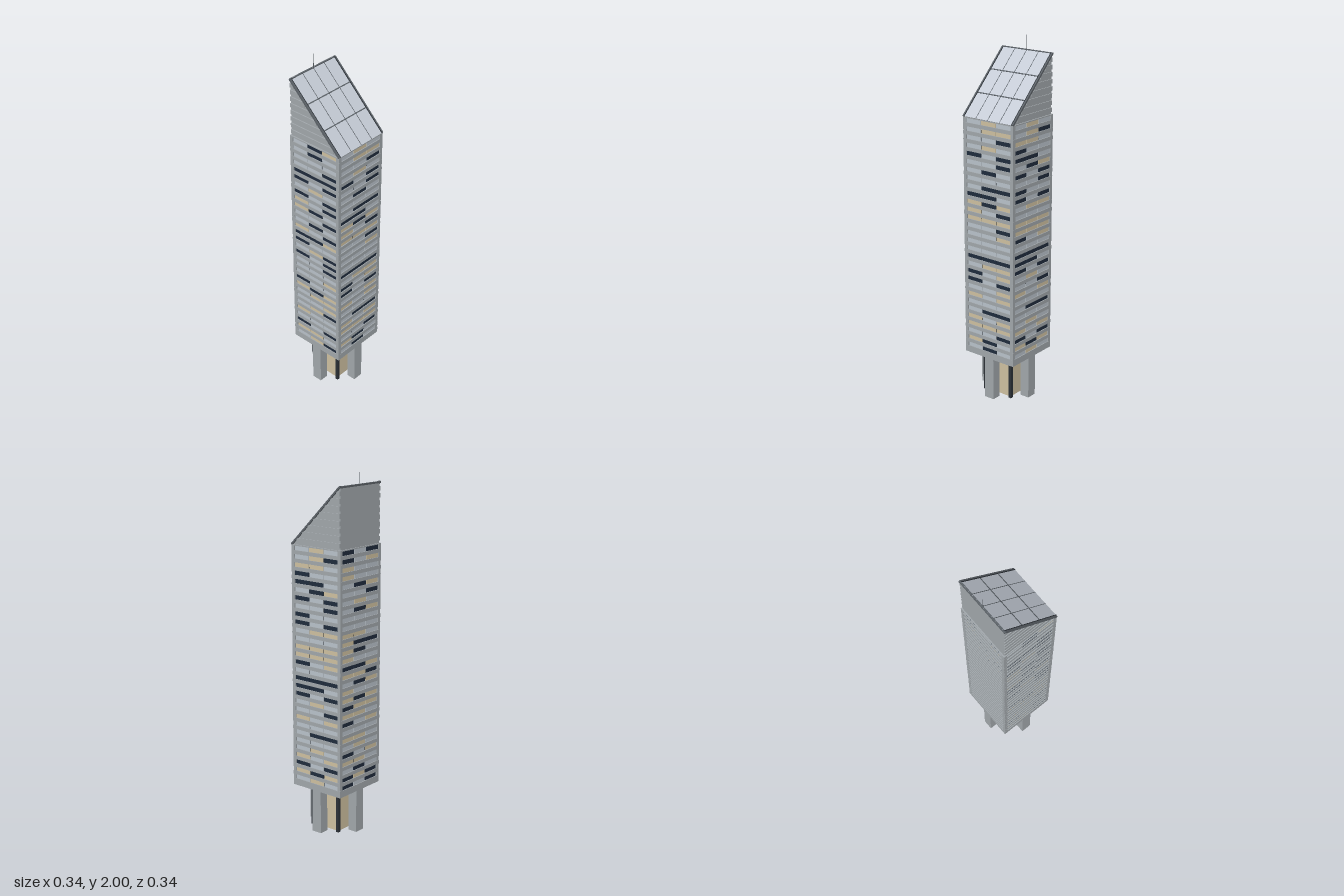
import * as THREE from 'three';
import { mergeGeometries } from 'three/addons/utils/BufferGeometryUtils.js';

const mat = (name, color, side = THREE.FrontSide) => {
  const m = new THREE.MeshStandardMaterial({ color, side });
  m.name = name;
  return m;
};

export function createModel() {
  const wall = mat('aluminium cladding', 0xa0a6aa);
  const pale = mat('pale window', 0xb8c1c9);
  const lit = mat('lit window', 0xcdbf9f);
  const dark = mat('dark window', 0x1f2b3c);
  const recess = mat('recess', 0x2b3036);
  const steel = mat('steel frame', 0x5c6268);
  const roofGlass = mat('roof glass', 0xc6cdd7);
  const lobby = mat('lobby stone', 0xcdbf9f);

  const tower = new THREE.Group();
  tower.name = 'tower';
  const add = (name, geo, material, parent = tower) => {
    const m = new THREE.Mesh(geo, material);
    m.name = name;
    parent.add(m);
    return m;
  };
  const box = (w, h, d, x, y, z) => new THREE.BoxGeometry(w, h, d).translate(x, y, z);

  const H = 0.169, IN = 0.161;              // outer and recessed half widths
  const BASE = 0.243, EAVE = 1.597, TOP = 1.922, BACK = -0.162;
  const ROWS = 30, FIRST = 0.293, PITCH = 1.286 / 29, WIN = 0.024;

  // Base: stone core, corner posts and one big leg under the middle of each face
  add('lobbyCore', box(0.168, BASE, 0.168, 0, BASE / 2, 0), lobby);
  for (const sx of [-1, 1]) for (const sz of [-1, 1])
    add('corePost', box(0.018, BASE, 0.018, sx * 0.09, BASE / 2, sz * 0.09), recess);
  for (let i = 0; i < 4; i++)
    add('leg', box(0.06, BASE, 0.055, 0, BASE / 2, H - 0.0275), wall).rotation.y = i * Math.PI / 2;

  // Shaft: dark core, projecting floor bands and corner piers
  add('shaftCore', box(2 * IN, EAVE - BASE - 0.01, 2 * IN, 0, (EAVE + BASE) / 2, 0), recess);
  const bands = [];
  for (let i = 0; i <= ROWS; i++) {
    const lo = i === 0 ? BASE : FIRST + (i - 1) * PITCH + WIN / 2;
    const hi = i === ROWS ? EAVE : FIRST + i * PITCH - WIN / 2;
    bands.push(box(2 * H, hi - lo, 2 * H, 0, (lo + hi) / 2, 0));
  }
  add('floorBands', mergeGeometries(bands), wall);
  const pier = H - 0.15;
  for (const sx of [-1, 1]) for (const sz of [-1, 1])
    add('cornerPier', box(pier, EAVE - BASE - 0.002, pier,
      sx * (H - pier / 2 - 0.0005), (EAVE + BASE) / 2, sz * (H - pier / 2 - 0.0005)), wall);

  // Windows, three to a floor, listed from the top: P pale, L lit, D dark
  let seed = 7;
  const rnd = () => (seed = (seed * 16807) % 2147483647) / 2147483647;
  const randomRows = () => Array.from({ length: ROWS * 3 }, () => {
    const r = rnd();
    return r < 0.3 ? 'D' : r < 0.57 ? 'L' : 'P';
  }).join('');
  const patterns = [
    'PLP PLL PPD PLP DPD PPD PDP PPP PDD DDP LDL LPD LLL PPD PPL PPP PPP DDD PLL DPL DPD PPL LPL PPP PDD LPL LLL PPD LDP PDP',
    'PLP PLD LLP DPP DDP PDL DPD PPD DPP DPD PLL PPP LLL LLL DPL PPP DDD DDP DPD PLP PPD LPL PPP PDD PPP PLP LPL DPD LDL PLP',
    randomRows(), randomRows()
  ].map(p => p.replace(/ /g, ''));
  const names = ['front', 'left', 'back', 'right'];
  patterns.forEach((p, f) => {
    const panes = { P: [], L: [], D: [] };
    for (let i = 0; i < ROWS * 3; i++) {
      const y = FIRST + (ROWS - 1 - Math.floor(i / 3)) * PITCH;
      panes[p[i]].push(box(0.096, WIN, 0.004, (i % 3 - 1) * 0.1, y, IN + 0.001));
    }
    for (const [key, m] of [['P', pale], ['L', lit], ['D', dark]])
      add(names[f] + 'Windows', mergeGeometries(panes[key]), m).rotation.y = f * Math.PI / 2;
  });

  // Wedge crown, extruded across the width
  const wedge = new THREE.Shape();
  wedge.moveTo(-H, EAVE);
  wedge.lineTo(-BACK, EAVE);
  wedge.lineTo(-BACK, TOP);
  const crown = new THREE.ExtrudeGeometry(wedge, { depth: 2 * IN, bevelEnabled: false });
  crown.translate(0, 0, -IN).rotateY(Math.PI / 2);
  add('crown', crown, wall);

  // Horizontal ribs on both crown sides, cut off by the slope
  const run = H - BACK, rise = TOP - EAVE;
  for (let i = 0; i < 8; i++) {
    const y = EAVE + 0.012 + i * 0.038, h = 0.024;
    const front = H - run * (y + h - EAVE) / rise;
    if (front - BACK < 0.01) continue;
    for (const s of [-1, 1])
      add('crownRib', box(0.006, h, front - BACK, s * (IN + 0.003), y + h / 2, (front + BACK) / 2), wall);
  }

  // Sloping glass roof, built flat and then tilted
  const roof = new THREE.Group();
  roof.name = 'slopedRoof';
  roof.position.set(0, (EAVE + TOP) / 2, (H + BACK) / 2);
  roof.rotation.x = Math.atan2(rise, run);
  tower.add(roof);
  const len = Math.hypot(run, rise);
  add('roofGlass', box(2 * IN, 0.004, len, 0, 0.001, 0), roofGlass, roof);
  for (const s of [-1, 1]) {
    add('roofRail', box(0.01, 0.01, len, s * (H - 0.004), 0, 0), steel, roof);
    add('roofMullion', box(0.004, 0.007, len, s * 0.159, 0.002, 0), recess, roof);
    add('roofCrossbar', box(2 * IN, 0.006, 0.006, 0, 0.002, s * len / 6), steel, roof);
  }
  for (const x of [-0.079, 0, 0.079])
    add('roofMullion', box(0.003, 0.006, len, x, 0.001, 0), steel, roof);
  add('ridgeBeam', box(2 * H, 0.01, 0.01, 0, TOP - 0.003, BACK + 0.002), steel);

  // Mast at the ridge
  add('mast', new THREE.CylinderGeometry(0.001, 0.002, 0.1, 6).translate(0, 1.95, -0.155), steel);

  return tower;
}
